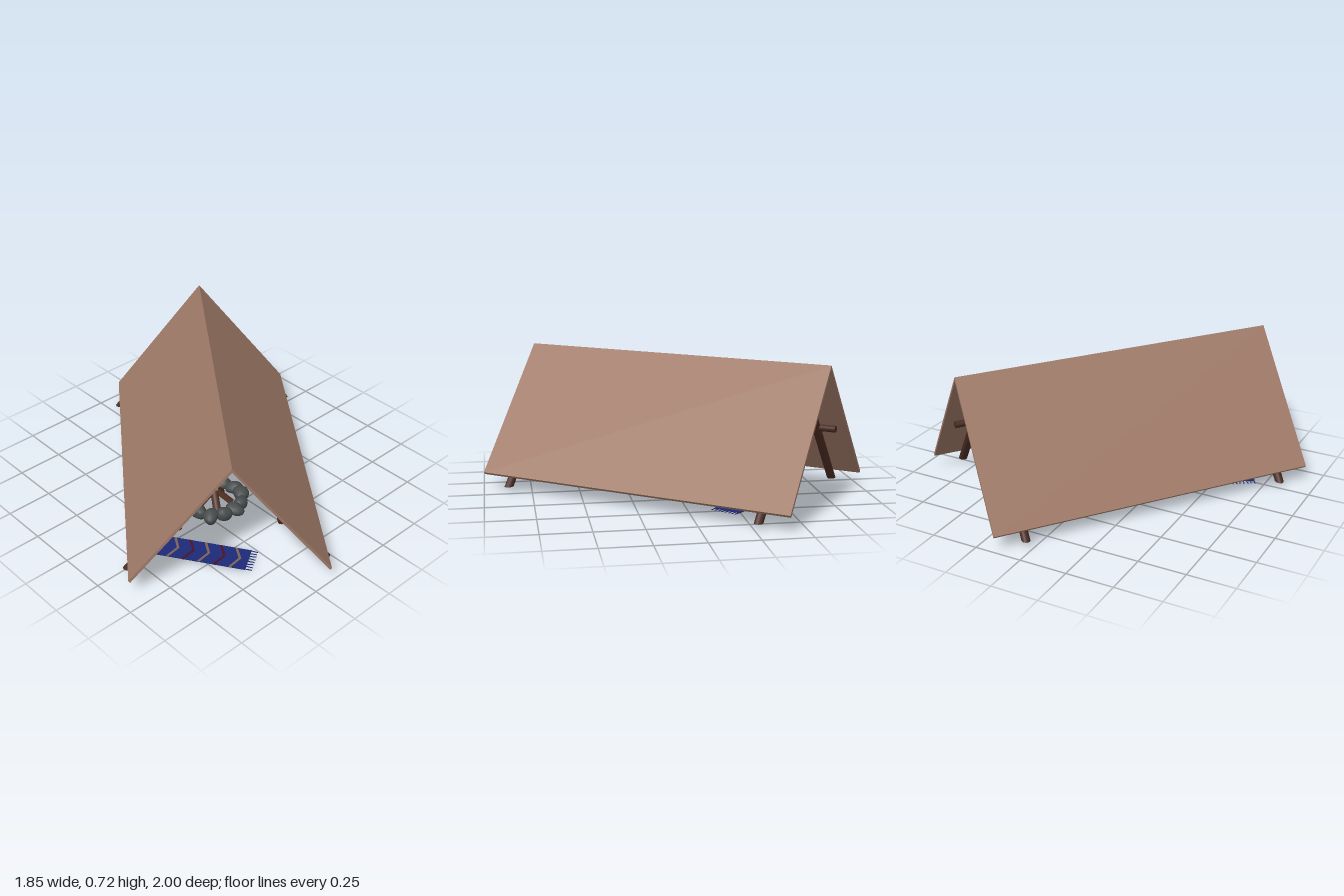
import * as THREE from 'three';

const mat = (color, extra = {}) => new THREE.MeshStandardMaterial({ color, ...extra });
const canvasMat = mat(0xa07a68);
const woodMat = mat(0x4a2a22);
const stoneMat = mat(0x474b4b);
const barkMat = mat(0x4f3022);
const cutMat = mat(0xb08c68);
const blueMat = mat(0x1c2a78);
const redMat = mat(0x4a1226);
const tanMat = mat(0x7a6258);

function add(parent, name, geometry, material) {
  const mesh = new THREE.Mesh(geometry, material);
  mesh.name = name;
  parent.add(mesh);
  return mesh;
}

// Small seeded generator
function seeded(seed) {
  return () => (seed = (seed * 16807) % 2147483647) / 2147483647;
}

// Extruded flat polygon, centred on its depth
function prism(points, depth) {
  const shape = new THREE.Shape(points.map(([x, y]) => new THREE.Vector2(x, y)));
  return new THREE.ExtrudeGeometry(shape, { depth, bevelEnabled: false }).translate(0, 0, -depth / 2);
}

function buildTent() {
  const tent = new THREE.Group();
  tent.name = 'tent';
  // Folded cover
  const half = [[0, 0.725], [0.494, 0.088], [0.485, 0.077], [0, 0.704]];
  const mirror = [[-0.485, 0.077], [-0.494, 0.088]];
  add(tent, 'cover', prism([...half, ...mirror], 1.762), canvasMat);

  // Leaning poles with level feet, made by shearing upright cylinders
  const height = 0.64, run = 0.49;
  for (const z of [-0.72, 0.72]) {
    for (const side of [-1, 1]) {
      const g = new THREE.CylinderGeometry(0.022, 0.022, height, 12);
      g.scale(1.26, 1, 1).translate(0, height / 2, 0);
      const p = g.attributes.position;
      for (let i = 0; i < p.count; i++) {
        p.setX(i, p.getX(i) + side * run * (1 - p.getY(i) / height));
      }
      g.computeVertexNormals();
      add(tent, 'framePole', g, woodMat).position.set(0, 0.03, z);
    }
  }
  // Rails along each side
  for (const side of [-1, 1]) {
    const rail = add(tent, 'sideRail', new THREE.CylinderGeometry(0.018, 0.018, 1.65, 12), woodMat);
    rail.rotation.x = Math.PI / 2;
    rail.position.set(side * 0.245, 0.355, 0);
  }
  return tent;
}

function buildRug() {
  const rug = new THREE.Group();
  rug.name = 'rug';
  const length = 0.54, width = 0.145, h = width / 2;
  add(rug, 'rugCloth', new THREE.BoxGeometry(length, 0.005, width), blueMat);
  // Chevron stripes, visible on both faces
  for (let i = 0; i < 6; i++) {
    const x = -0.215 + i * 0.08, w = 0.014, tip = 0.035;
    const g = prism([[x, -h], [x + w, -h], [x + w + tip, 0], [x + w, h], [x, h], [x + tip, 0]], 0.007);
    g.rotateX(Math.PI / 2);
    add(rug, 'chevron', g, i % 2 ? tanMat : redMat);
  }
  // Fringe threads on both ends
  for (const end of [-1, 1]) {
    for (let i = 0; i < 8; i++) {
      const thread = add(rug, 'fringe', new THREE.BoxGeometry(0.035, 0.003, 0.004), blueMat);
      thread.position.set(end * (length / 2 + 0.016), 0, (i / 7 - 0.5) * (width - 0.008));
      thread.rotation.y = (i % 3 - 1) * 0.12;
    }
  }
  return rug;
}

function buildFirePit() {
  const pit = new THREE.Group();
  pit.name = 'firePit';
  const rand = seeded(71);
  // Ring of rounded, lumpy stones
  const count = 13;
  for (let i = 0; i < count; i++) {
    const g = new THREE.SphereGeometry(1, 14, 10);
    const p = g.attributes.position;
    const a = rand() * 6, b = rand() * 6;
    for (let k = 0; k < p.count; k++) {
      const x = p.getX(k), y = p.getY(k), z = p.getZ(k);
      const s = 1 + 0.1 * Math.sin(3 * x + a) * Math.cos(2.5 * z + b) + 0.06 * Math.sin(4 * y + b);
      p.setXYZ(k, x * s, y * s, z * s);
    }
    g.scale(0.042 + rand() * 0.008, 0.032 + rand() * 0.006, 0.036 + rand() * 0.01);
    g.computeVertexNormals();
    const stone = add(pit, 'stone', g, stoneMat);
    const t = (i / count) * Math.PI * 2, r = 0.14 + rand() * 0.015;
    stone.position.set(Math.cos(t) * r, 0.037 + rand() * 0.012, Math.sin(t) * r);
    stone.rotation.set(rand() * 0.5 - 0.25, rand() * 6, rand() * 0.5 - 0.25);
  }
  // Split logs leaning together: bark outside, pale cut wood inside
  for (let i = 0; i < 5; i++) {
    const spoke = new THREE.Group();
    spoke.name = 'splitLog';
    spoke.rotation.y = i * 1.257 + 0.4;
    pit.add(spoke);
    const log = new THREE.Group();
    log.position.set(0.05, 0.062, 0);
    log.rotation.z = 0.85;
    spoke.add(log);
    const bark = new THREE.CylinderGeometry(0.021, 0.021, 0.11, 10, 1, true, 0, Math.PI);
    add(log, 'bark', bark, barkMat);
    add(log, 'cutFace', new THREE.BoxGeometry(0.004, 0.11, 0.041), cutMat);
    for (const end of [-1, 1]) {
      const cap = new THREE.CylinderGeometry(0.02, 0.02, 0.003, 10, 1, false, 0, Math.PI);
      add(log, 'cutEnd', cap, cutMat).position.y = end * 0.054;
    }
  }
  return pit;
}

export function createModel() {
  const model = new THREE.Group();
  model.name = 'campShelter';

  const tent = buildTent();
  tent.rotation.y = -0.652;
  model.add(tent);

  // Two rugs lying on the ground inside
  for (const [x, z, turn] of [[0.4, -0.365, -Math.PI / 4], [-0.5, 0.41, -1.0]]) {
    const rug = buildRug();
    rug.position.set(x, 0.03, z);
    rug.rotation.y = turn;
    model.add(rug);
  }

  const pit = buildFirePit();
  pit.position.set(-0.16, 0, 0.175);
  model.add(pit);
  return model;
}
